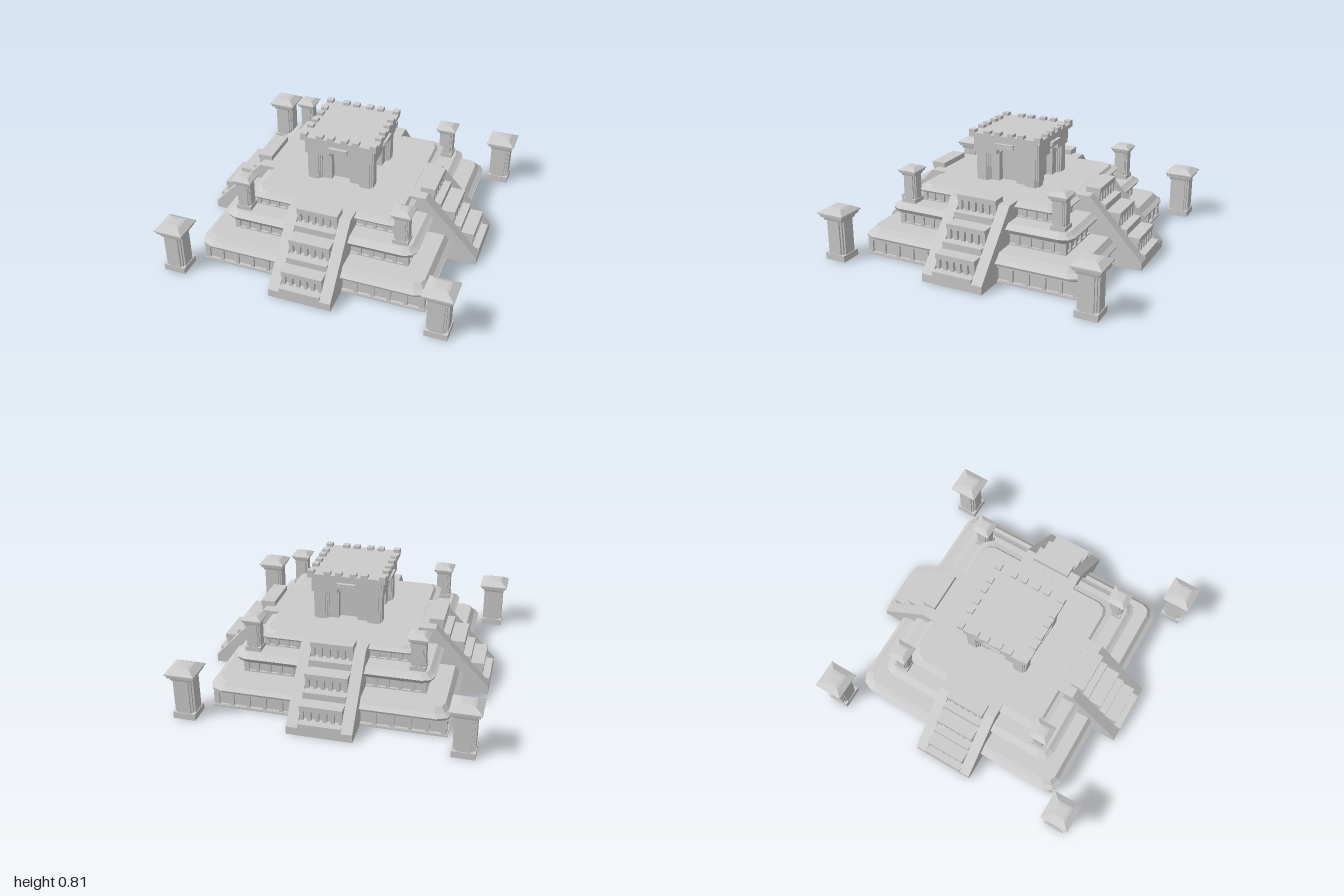
import * as THREE from 'three';

const grey = new THREE.MeshStandardMaterial({ color: 0xcccccc, flatShading: true });

function add(parent, name, geometry, x = 0, y = 0, z = 0) {
  const mesh = new THREE.Mesh(geometry, grey);
  mesh.name = name;
  mesh.position.set(x, y, z);
  parent.add(mesh);
  return mesh;
}

// Box given by its extents
function block(parent, name, x0, x1, y0, y1, z0, z1) {
  return add(parent, name, new THREE.BoxGeometry(x1 - x0, y1 - y0, z1 - z0),
    (x0 + x1) / 2, (y0 + y1) / 2, (z0 + z1) / 2);
}

// Square rings [half width, height, corner cut] joined into a closed solid
function squareLoft(rings) {
  const loops = rings.map(([h, y, cut = 0]) => {
    const pts = [];
    for (let q = 0; q < 4; q++) {
      for (let k = 0; k < (cut ? 3 : 1); k++) {
        const a = cut ? k * Math.PI / 4 : Math.PI / 4;
        const px = h - cut + cut * Math.cos(a), pz = h - cut + cut * Math.sin(a);
        const c = Math.round(Math.cos(q * Math.PI / 2)), s = Math.round(Math.sin(q * Math.PI / 2));
        pts.push(new THREE.Vector3(px * c - pz * s, y, px * s + pz * c));
      }
    }
    return pts;
  });
  const out = [], n = loops[0].length;
  const tri = (...v) => v.forEach(p => out.push(p.x, p.y, p.z));
  for (let i = 0; i + 1 < loops.length; i++) {
    for (let j = 0; j < n; j++) {
      const k = (j + 1) % n;
      tri(loops[i][j], loops[i + 1][j], loops[i + 1][k]);
      tri(loops[i][j], loops[i + 1][k], loops[i][k]);
    }
  }
  const top = loops[loops.length - 1], bottom = loops[0];
  for (let j = 0; j < n; j++) {
    const k = (j + 1) % n;
    tri(new THREE.Vector3(0, top[0].y, 0), top[k], top[j]);
    tri(new THREE.Vector3(0, bottom[0].y, 0), bottom[j], bottom[k]);
  }
  const g = new THREE.BufferGeometry();
  g.setAttribute('position', new THREE.Float32BufferAttribute(out, 3));
  g.computeVertexNormals();
  return g;
}

// Square pillar with notched corners and a pyramid cap
function makePillar(name) {
  const p = new THREE.Group();
  p.name = name;
  block(p, 'pillarBase', -0.075, 0.075, 0, 0.045, -0.075, 0.075);
  block(p, 'pillarShaft', -0.07, 0.07, 0.04, 0.29, -0.045, 0.045);
  block(p, 'pillarShaft', -0.045, 0.045, 0.04, 0.29, -0.07, 0.07);
  block(p, 'pillarCore', -0.058, 0.058, 0.04, 0.29, -0.058, 0.058);
  add(p, 'pillarCap', squareLoft([[0.07, 0.28], [0.075, 0.3], [0.088, 0.305],
    [0.09, 0.322], [0.1, 0.327], [0.1, 0.335], [0.055, 0.362], [0.035, 0.366]]));
  return p;
}

// Framed panels along the front of one tier
function wallPanels(parent, half, y0, y1, count, rim) {
  const face = half + 0.015, start = 0.2;
  block(parent, 'wallSill', -face, face, y0, y0 + rim, half - 0.02, face);
  block(parent, 'wallHeader', -face, face, y1 - rim, y1, half - 0.02, face);
  const pitch = (face - 0.0125 - start) / count;
  for (const s of [-1, 1]) {
    for (let i = 0; i <= count; i++) {
      const x = s * (start + i * pitch);
      block(parent, 'wallPost', x - 0.0125, x + 0.0125, y0, y1, half - 0.02, face);
    }
  }
}

// Stairway with sloped side rails and small posts under each tread
function addStairs(parent) {
  const profile = new THREE.Shape([[0.4, 0], [0.975, 0], [0.975, 0.055], [0.6, 0.455], [0.4, 0.455]]
    .map(p => new THREE.Vector2(...p)));
  const rail = new THREE.ExtrudeGeometry(profile, { depth: 0.075, bevelEnabled: false });
  rail.rotateY(-Math.PI / 2);
  add(parent, 'stairRail', rail, 0.215);
  add(parent, 'stairRail', rail, -0.14);
  const w = 0.14;
  [[0, 0.085, 0.975, 0.93], [0.19, 0.235, 0.84, 0.79], [0.34, 0.385, 0.69, 0.645]]
    .forEach(([low, sill, sillZ, treadZ], i) => {
      const top = 0.19 + i * 0.15;
      const back = i === 2 ? 0.545 : 0.5;
      block(parent, 'stepSill', -w, w, i ? low - 0.02 : 0, sill, 0.5, sillZ);
      block(parent, 'stepRiser', -w, w, low, top - 0.01, back, treadZ - 0.03);
      block(parent, 'stepTread', -w, w, top - 0.035, top, back, treadZ);
      for (let k = 0; k < 6; k++) {
        const x = -0.126 + k * 0.0504;
        block(parent, 'stepPost', x - 0.012, x + 0.012, sill - 0.005, top - 0.03, treadZ - 0.04, treadZ - 0.006);
      }
    });
  block(parent, 'stairLanding', -w, w, 0.3, 0.454, 0.4, 0.56);
}

// One face of the temple: arched doorway with ledges over it
function addTempleFace(parent) {
  const wall = new THREE.Shape();
  wall.moveTo(-0.14, 0.455);
  wall.lineTo(-0.065, 0.455);
  wall.lineTo(-0.065, 0.65);
  wall.quadraticCurveTo(-0.04, 0.685, 0, 0.685);
  wall.quadraticCurveTo(0.04, 0.685, 0.065, 0.65);
  wall.lineTo(0.065, 0.455);
  wall.lineTo(0.14, 0.455);
  wall.lineTo(0.14, 0.72);
  wall.lineTo(-0.14, 0.72);
  add(parent, 'doorway', new THREE.ExtrudeGeometry(wall,
    { depth: 0.055, bevelEnabled: false, curveSegments: 6 }), 0, 0, 0.15);
  block(parent, 'lintel', -0.235, -0.065, 0.655, 0.77, 0.15, 0.245);
  block(parent, 'lintel', 0.065, 0.235, 0.655, 0.77, 0.15, 0.245);
  block(parent, 'lintel', -0.07, 0.07, 0.685, 0.77, 0.15, 0.245);
  block(parent, 'doorLedge', -0.065, 0.065, 0.718, 0.735, 0.24, 0.268);
  block(parent, 'doorLedge', -0.065, 0.065, 0.7, 0.712, 0.24, 0.258);
  // Battlements, one corner per face
  for (const x of [-0.243, -0.13, -0.052, 0.045, 0.122]) {
    block(parent, 'battlement', x - 0.022, x + 0.022, 0.785, 0.812, 0.221, 0.265);
  }
}

export function createModel() {
  const model = new THREE.Group();
  model.name = 'steppedTemple';

  // Tiers: wall half width, bottom and cornice heights, then cornice rings
  const tiers = [
    { half: 0.757, y0: 0, y1: 0.12, count: 5, rim: 0.018,
      cornice: [[0.765, 0.112, 0.02], [0.8, 0.128, 0.09], [0.805, 0.142, 0.1], [0.775, 0.162, 0.08], [0.747, 0.195, 0.06]] },
    { half: 0.597, y0: 0.19, y1: 0.28, count: 5, rim: 0.014,
      cornice: [[0.612, 0.272, 0.02], [0.65, 0.29, 0.07], [0.665, 0.318, 0.08], [0.645, 0.328, 0.07], [0.62, 0.345, 0.05]] },
    { half: 0.485, y0: 0.34, y1: 0.415, count: 4, rim: 0.012,
      cornice: [[0.5, 0.405, 0.03], [0.535, 0.418, 0.07], [0.54, 0.43, 0.07], [0.505, 0.438, 0.07], [0.49, 0.455, 0.07]] },
  ];
  const side = new THREE.Group();
  side.name = 'side';
  tiers.forEach(t => {
    block(model, 'tierWall', -t.half, t.half, t.y0, t.y1, -t.half, t.half);
    add(model, 'tierCornice', squareLoft(t.cornice));
    wallPanels(side, t.half, t.y0, t.y1, t.count, t.rim);
  });
  block(model, 'basePlate', -0.778, 0.778, 0, 0.014, -0.778, 0.778);

  // Temple core and roof
  block(model, 'templeCore', -0.16, 0.16, 0.45, 0.77, -0.16, 0.16);
  add(model, 'templeRoof', squareLoft([[0.245, 0.755], [0.265, 0.762], [0.265, 0.79]]));

  // Everything that repeats on the four sides
  addStairs(side);
  addTempleFace(side);
  const pier = new THREE.Group();
  pier.name = 'templePier';
  block(pier, 'pierShaft', 0.13, 0.235, 0.45, 0.66, 0.15, 0.215);
  block(pier, 'pierShaft', 0.15, 0.215, 0.45, 0.66, 0.13, 0.235);
  block(pier, 'pierCore', 0.14, 0.225, 0.45, 0.66, 0.14, 0.225);
  side.add(pier);
  const outer = makePillar('groundPillar');
  outer.position.set(0.9, 0, 0.9);
  const inner = makePillar('terracePillar');
  inner.position.set(0.547, 0.343, 0.547);
  inner.scale.setScalar(0.69);
  side.add(outer, inner);
  for (let i = 0; i < 4; i++) {
    const copy = side.clone();
    copy.rotation.y = i * Math.PI / 2;
    model.add(copy);
  }
  return model;
}
